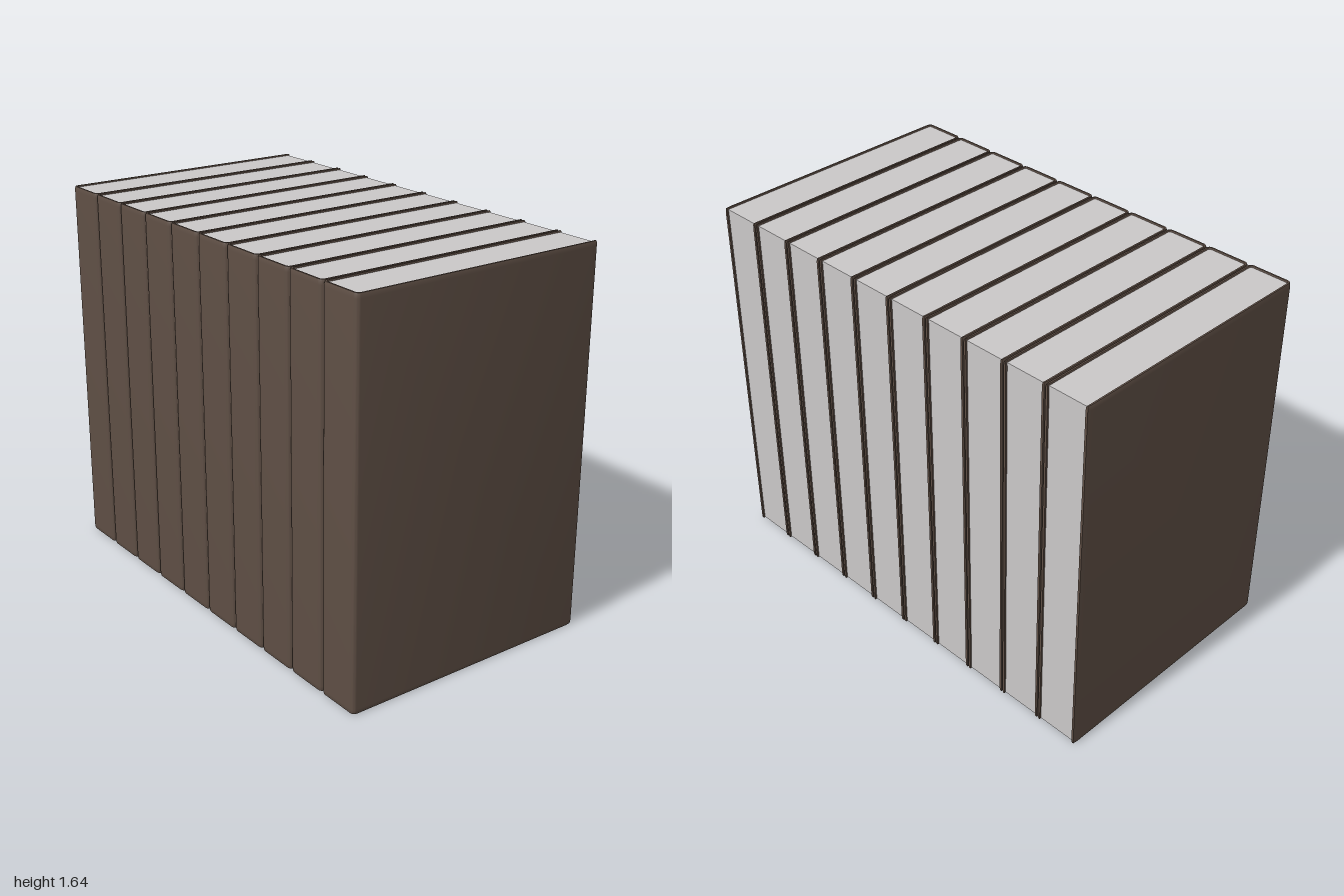
import * as THREE from 'three';
import { toCreasedNormals } from 'three/addons/utils/BufferGeometryUtils.js';

const COUNT = 10, PITCH = 0.2, HEIGHT = 1.642, DEPTH = 1.15;
const HALF = PITCH / 2 - 0.0005; // half thickness of one book
const BOARD = 0.013;             // cover thickness
const BEVEL = 0.003, TAPER = 0.02;

// U-shaped cover: two boards joined by a spine with rounded corners
function coverGeometry() {
  const f = -DEPTH / 2, b = DEPTH / 2, r = 0.024, q = r - BOARD;
  const i = HALF - BOARD, g = f + BOARD;
  const s = new THREE.Shape();
  s.moveTo(-HALF + BEVEL, b);
  s.lineTo(-HALF, b - 0.025);
  s.lineTo(-HALF, f + r);
  s.quadraticCurveTo(-HALF, f, -HALF + r, f);
  s.lineTo(HALF - r, f);
  s.quadraticCurveTo(HALF, f, HALF, f + r);
  s.lineTo(HALF, b - 0.025);
  s.lineTo(HALF - BEVEL, b);
  s.lineTo(i, b);
  s.lineTo(i, g + q);
  s.quadraticCurveTo(i, g, i - q, g);
  s.lineTo(-i + q, g);
  s.quadraticCurveTo(-i, g, -i, g + q);
  s.lineTo(-i, b);
  s.closePath();
  const geo = new THREE.ExtrudeGeometry(s, {
    depth: HEIGHT - 2 * TAPER, bevelEnabled: true, bevelThickness: TAPER,
    bevelSize: BEVEL, bevelOffset: -BEVEL, bevelSegments: 2, curveSegments: 6,
  });
  geo.rotateX(-Math.PI / 2);
  geo.translate(0, TAPER, 0);
  return toCreasedNormals(geo, 0.6);
}

export function createModel() {
  const group = new THREE.Group();
  const cover = new THREE.MeshStandardMaterial({ color: 0x5f4f45 });
  cover.name = 'brown cover';
  const paper = new THREE.MeshStandardMaterial({ color: 0xcbc8c8 });
  paper.name = 'pale paper';

  const coverGeo = coverGeometry();
  // Page block, slightly inset at top, bottom and fore edge
  const zBack = -DEPTH / 2 + 0.008, zFront = DEPTH / 2 - BOARD + 0.002;
  const pageGeo = new THREE.BoxGeometry(2 * (HALF - BOARD) + 0.006, HEIGHT - 0.012, zFront - zBack);
  pageGeo.translate(0, HEIGHT / 2, (zFront + zBack) / 2);

  for (let n = 0; n < COUNT; n++) {
    const book = new THREE.Group();
    book.name = `book${n + 1}`;
    const shell = new THREE.Mesh(coverGeo, cover);
    shell.name = 'cover';
    const pages = new THREE.Mesh(pageGeo, paper);
    pages.name = 'pages';
    book.add(shell, pages);
    book.position.x = (n - (COUNT - 1) / 2) * PITCH;
    group.add(book);
  }
  return group;
}
